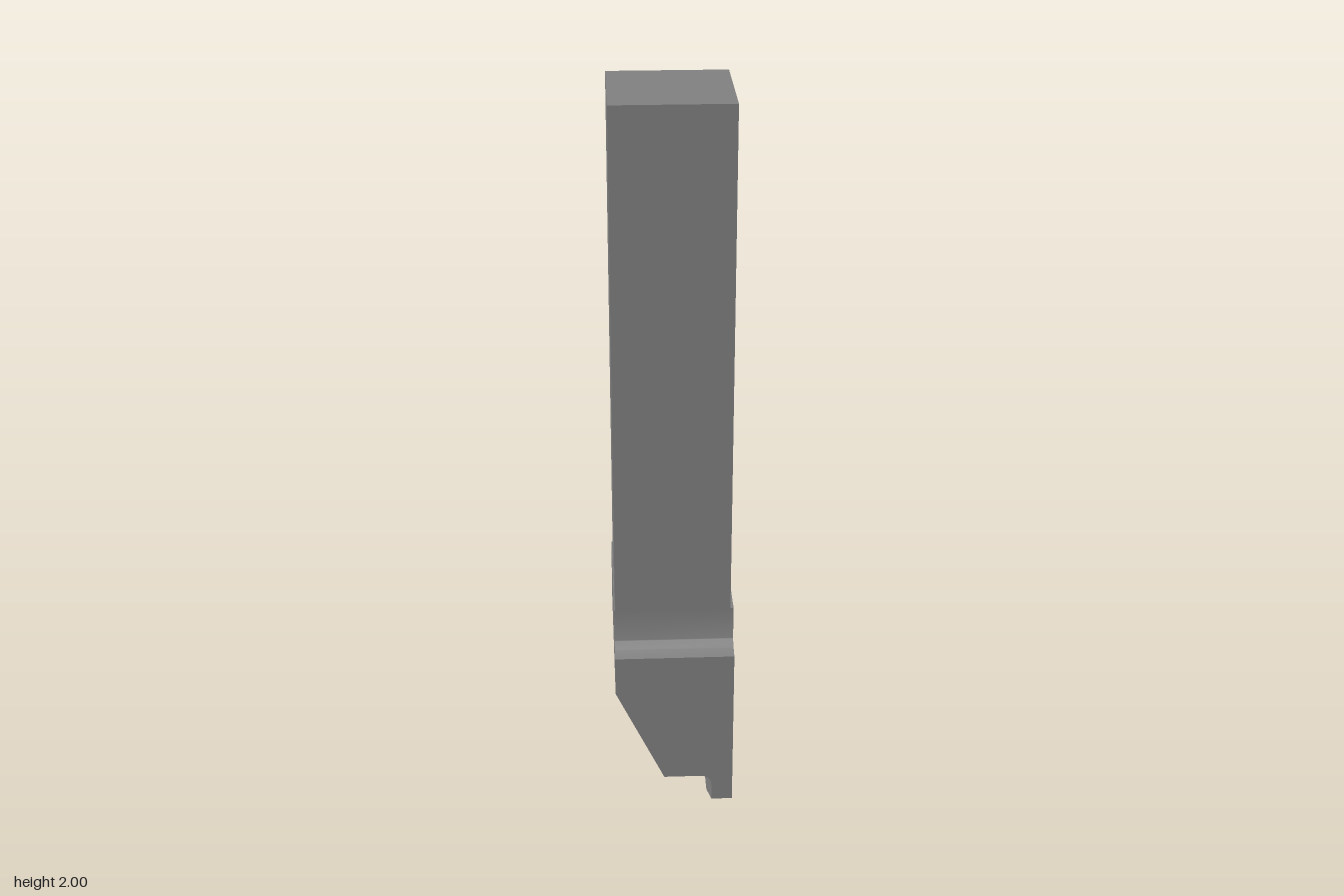
import * as THREE from 'three';
import { toCreasedNormals } from 'three/addons/utils/BufferGeometryUtils.js';

const steel = new THREE.MeshStandardMaterial({ color: 0x808080 });
const carbide = new THREE.MeshStandardMaterial({ color: 0xcccccc });

const polygon = (points) => new THREE.Shape(points.map(([u, y]) => new THREE.Vector2(u, y)));

// Side outline (u = -z, y) extruded across the width from x0 to x1
function sideExtrude(shape, x0, x1) {
  const geo = new THREE.ExtrudeGeometry(shape, { depth: x1 - x0, bevelEnabled: false, curveSegments: 20 });
  return geo.rotateY(Math.PI / 2).translate(x0, 0, 0);
}

// Slants the -x side inwards below y = 0.47
function slantSide(geo) {
  const p = geo.attributes.position;
  for (let i = 0; i < p.count; i++) {
    if (p.getX(i) < 0) p.setX(i, -0.155 + (0.47 - p.getY(i)) * 0.472);
  }
  geo.computeVertexNormals();
  return geo;
}

export function createModel() {
  const group = new THREE.Group();
  const add = (name, geo, material = steel) => {
    const mesh = new THREE.Mesh(toCreasedNormals(geo, 0.5), material);
    mesh.name = name;
    group.add(mesh);
  };

  // Square shank with a relief notch at the back of its foot
  const shank = new THREE.Shape();
  shank.moveTo(-0.2, 0.69);
  shank.lineTo(0.095, 0.69);
  shank.bezierCurveTo(0.08, 0.705, 0.08, 0.735, 0.1, 0.755);
  shank.lineTo(0.1, 2);
  shank.lineTo(-0.2, 2);
  add('shank', sideExtrude(shank, -0.153, 0.142));

  // Upper head with the clamping slot and its round end
  const head = new THREE.Shape();
  head.moveTo(-0.25, 0.47);
  head.lineTo(0.072, 0.47);
  head.lineTo(0.072, 0.595);
  head.absarc(0.09, 0.615, 0.027, -2.3, -1.757, true);
  head.lineTo(0.085, 0.47);
  head.lineTo(0.245, 0.47);
  head.lineTo(0.245, 0.645);
  head.lineTo(0.125, 0.678);
  head.quadraticCurveTo(0.105, 0.682, 0.095, 0.69);
  head.lineTo(-0.2, 0.69);
  head.lineTo(-0.2, 0.605);
  head.quadraticCurveTo(-0.203, 0.585, -0.25, 0.575);
  add('head', sideExtrude(head, -0.155, 0.15));

  // Lower head on each side of the slot, slanted on one flank
  add('lowerHead', slantSide(sideExtrude(polygon([
    [-0.25, 0.47], [-0.25, 0.205], [-0.18, 0.205], [0.02, 0.385], [0.072, 0.385], [0.072, 0.47],
  ]), -0.155, 0.15)));
  add('clampJaw', slantSide(sideExtrude(polygon([
    [0.085, 0.47], [0.085, 0.385], [0.245, 0.385], [0.245, 0.47],
  ]), -0.155, 0.15)));

  // Thin blade holding the insert from the front and the back
  add('bladeFront', sideExtrude(polygon([
    [-0.25, 0.205], [-0.25, 0.13], [-0.06, 0.02], [0.03, 0.02], [0.03, 0.385], [0.02, 0.385], [-0.18, 0.205],
  ]), 0.095, 0.15));
  add('bladeBack', sideExtrude(polygon([
    [0.1, 0.385], [0.1, 0.29], [0.115, 0.28], [0.115, 0.125], [0.245, 0.3], [0.245, 0.385],
  ]), 0.095, 0.15));

  // Fillets between blade and underside: [zStart, yStart, zEnd, yEnd]
  const fillet = new THREE.Shape();
  fillet.moveTo(0.065, 0);
  fillet.quadraticCurveTo(0.095, 0, 0.095, -0.035);
  fillet.lineTo(0.097, 0.002);
  for (const [z0, y0, z1, y1] of [
    [-0.245, 0.385, -0.115, 0.385], [-0.03, 0.385, -0.02, 0.385],
    [-0.02, 0.385, 0.18, 0.205], [0.18, 0.205, 0.25, 0.205],
  ]) {
    const geo = new THREE.ExtrudeGeometry(fillet, { depth: z1 - z0, bevelEnabled: false, curveSegments: 8 });
    const p = geo.attributes.position;
    for (let i = 0; i < p.count; i++) {
      p.setY(i, p.getY(i) + y0 + (y1 - y0) * p.getZ(i) / (z1 - z0));
    }
    geo.translate(0, 0, z0).computeVertexNormals();
    add('bladeFillet', geo);
  }

  // Cutting insert, a little wider than the blade
  add('insert', sideExtrude(polygon([
    [0.03, 0.39], [0.03, 0.01], [0.105, 0], [0.1, 0.1], [0.12, 0.13], [0.12, 0.275], [0.1, 0.295], [0.1, 0.39],
  ]), 0.09, 0.152), carbide);

  return group;
}
